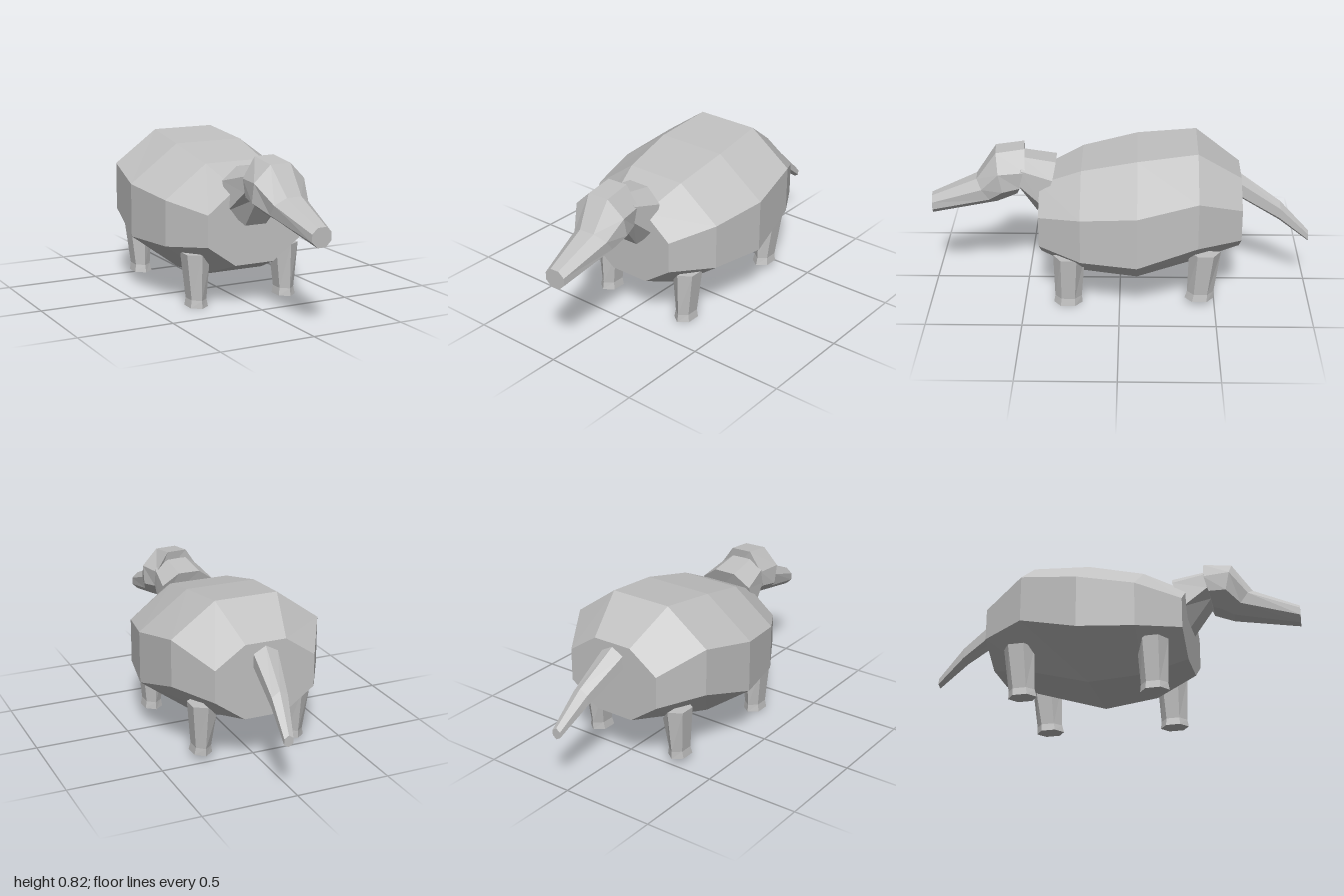
import * as THREE from 'three';

const grey = new THREE.MeshStandardMaterial({ color: 0xc0c0c0, flatShading: true });
grey.name = 'plain grey';

// Skin a list of equal rings (ordered along +z or +y) and close both ends
function loft(name, rings) {
  const pos = [];
  const tri = (a, b, c) => pos.push(...a, ...b, ...c);
  const n = rings[0].length;
  for (let k = 0; k < rings.length - 1; k++) {
    for (let i = 0; i < n; i++) {
      const j = (i + 1) % n, a = rings[k], b = rings[k + 1];
      tri(a[i], a[j], b[j]);
      tri(a[i], b[j], b[i]);
    }
  }
  const first = rings[0], last = rings[rings.length - 1];
  for (let i = 1; i < n - 1; i++) {
    tri(first[0], first[i + 1], first[i]);
    tri(last[0], last[i], last[i + 1]);
  }
  const geo = new THREE.BufferGeometry();
  geo.setAttribute('position', new THREE.Float32BufferAttribute(pos, 3));
  geo.computeVertexNormals();
  const mesh = new THREE.Mesh(geo, grey);
  mesh.name = name;
  return mesh;
}

// Eight-sided ring: centre x, half widths at sides and at top/bottom,
// heights and depths from bottom to top, and a yaw slant of z per x
function octagon(cx, side, flat, ys, zs, slant = 0) {
  const levels = [[side, 1], [side, 2], [flat, 3], [-flat, 3], [-side, 2], [-side, 1], [-flat, 0], [flat, 0]];
  return levels.map(([x, l]) => [cx + x, ys[l], (zs.length ? zs[l] : zs) + slant * x]);
}

function makeBody() {
  const sections = [
    [-0.63, 0.27, 0.11, [0.265, 0.38, 0.55, 0.66]],
    [-0.40, 0.405, 0.17, [0.21, 0.40, 0.65, 0.82]],
    [-0.09, 0.455, 0.19, [0.115, 0.31, 0.59, 0.785]],
    [0.20, 0.395, 0.165, [0.14, 0.31, 0.55, 0.72]],
    [0.42, 0.265, 0.11, [0.225, 0.335, 0.50, 0.62]],
  ];
  return loft('body', sections.map(([z, side, flat, ys]) => octagon(0, side, flat, ys, [z, z, z, z])));
}

// Short neck leaning forward into the back of the head
function makeNeck() {
  return loft('neck', [
    octagon(0.0, 0.15, 0.06, [0.43, 0.51, 0.655, 0.72], [0.43, 0.405, 0.35, 0.335]),
    octagon(0.005, 0.125, 0.055, [0.59, 0.62, 0.70, 0.75], [0.54, 0.53, 0.515, 0.51]),
  ]);
}

// Skull, brow and long tapered snout, turned slightly to one side
function makeHead() {
  return loft('head', [
    octagon(0.005, 0.125, 0.055, [0.54, 0.60, 0.69, 0.795], [0.545, 0.53, 0.50, 0.50], -0.07),
    octagon(0.012, 0.147, 0.058, [0.525, 0.59, 0.69, 0.775], [0.59, 0.62, 0.64, 0.65], -0.07),
    octagon(0.028, 0.10, 0.042, [0.50, 0.535, 0.59, 0.627], [0.65, 0.69, 0.73, 0.755], -0.07),
    octagon(0.037, 0.056, 0.024, [0.427, 0.457, 0.497, 0.525], [0.995, 0.995, 0.995, 0.995], -0.07),
  ]);
}

// Six-sided tail with a ridge on top, bending down and sideways to the tip
function makeTail() {
  const sections = [
    [0.055, 0.30, -1.0, 0.024, 0.03],
    [0.028, 0.435, -0.845, 0.043, 0.055],
    [0, 0.57, -0.63, 0.065, 0.07],
  ];
  return loft('tail', sections.map(([cx, cy, z, rx, ry]) =>
    Array.from({ length: 6 }, (_, i) => {
      const t = Math.PI / 2 + i * Math.PI / 3;
      return [cx + rx * Math.cos(t) / 0.866, cy + ry * Math.sin(t), z];
    })));
}

// Six-sided leg with a flared foot; the inner edge of the top is cut lower
function makeLeg(name, mirror, shiftY, soleZ, topZ) {
  const mid = soleZ * 0.8 + topZ * 0.2;
  const sections = [
    // y inner, y outer, inner x, outer x, centre z, half depth
    [0, 0, 0.21, 0.308, soleZ, 0.076],
    [0.04, 0.04, 0.217, 0.301, mid, 0.07],
    [0.215, 0.28, 0.2, 0.325, topZ, 0.083],
  ];
  return loft(name, sections.map(([yIn, yOut, xIn, xOut, z, d]) =>
    Array.from({ length: 6 }, (_, i) => {
      const t = i * Math.PI / 3;
      const s = Math.sign(Math.round(Math.sin(t) * 10)) * mirror;
      const x = s > 0 ? xOut : s < 0 ? xIn : 0.26;
      const y = s < 0 ? yIn : yOut;
      return [x * mirror, y + shiftY, z + d * Math.cos(t)];
    })));
}

export function createModel() {
  const model = new THREE.Group();
  model.name = 'animal';
  model.add(makeBody(), makeNeck(), makeHead(), makeTail());
  for (const [sideName, m] of [['Left', 1], ['Right', -1]]) {
    model.add(makeLeg('front' + sideName + 'Leg', m, 0, 0.272, 0.264));
    model.add(makeLeg('rear' + sideName + 'Leg', m, 0.03, -0.42, -0.445));
  }
  return model;
}
